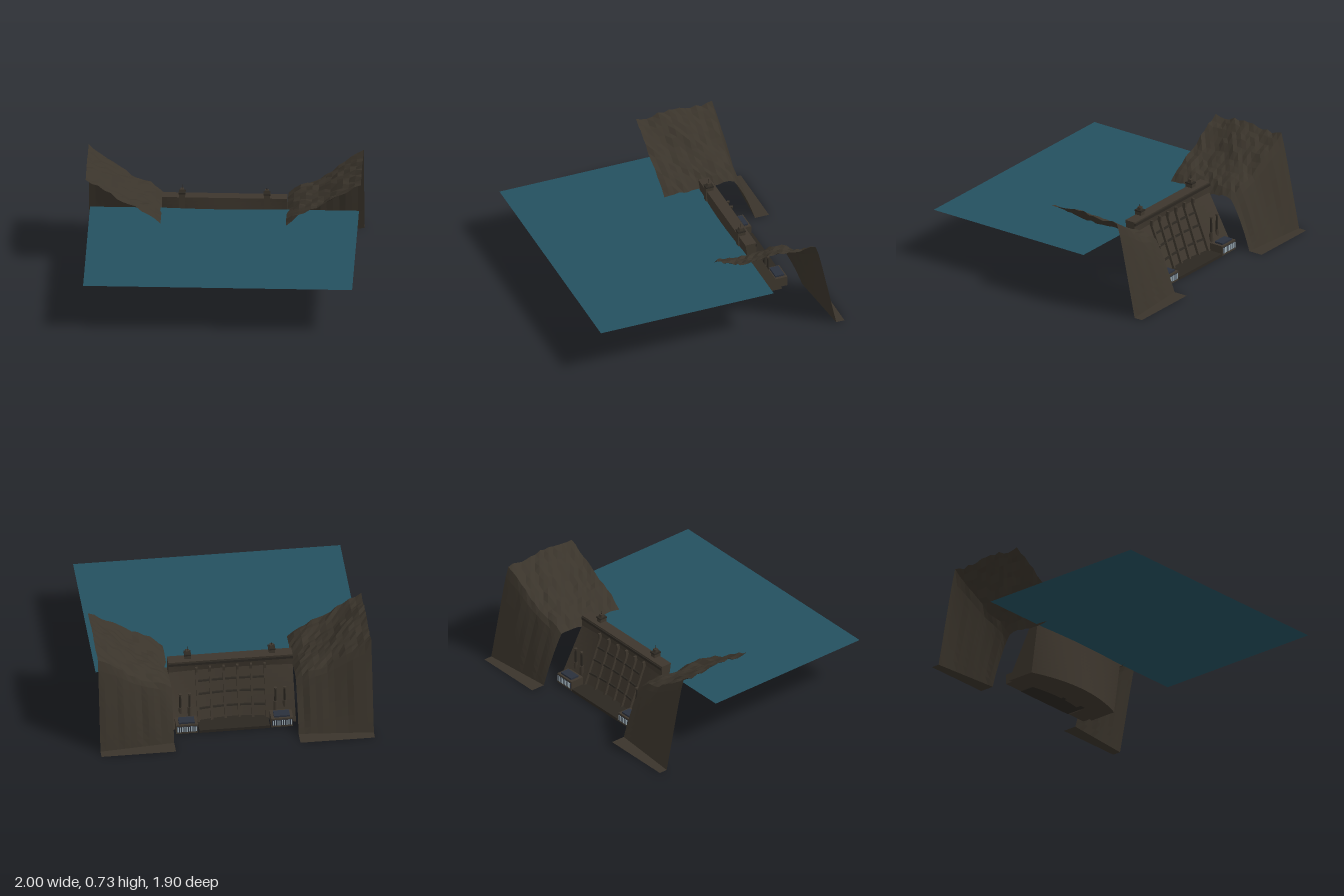
import * as THREE from 'three';

const HALF = 0.455, CREST = 0.455;
const mat = (color, opts = {}) => new THREE.MeshStandardMaterial({ color, ...opts });
const concrete = mat(0x3d362d, { flatShading: true });
const darkConcrete = mat(0x2b2721, { flatShading: true });
const rock = mat(0x3a342b, { flatShading: true, side: THREE.DoubleSide });
const glass = mat(0x2a303c);
const pale = mat(0x9fb0b8);
const waterMat = mat(0x24505f, { side: THREE.DoubleSide });

const lerp = THREE.MathUtils.lerp;

// Dam faces: straight along the crest, bowed upstream towards the foot
const bow = (x, y) => 0.09 * (1 - y / CREST) * (1 - (x / HALF) ** 2);
const upstream = (x, y) => lerp(-0.47, -0.4, y / CREST) + bow(x, y);
const downstream = (x, y) => (y > 0.37 ? -0.485 : lerp(-0.69, -0.485, y / 0.37)) + bow(x, y);

function add(parent, name, geometry, material, x = 0, y = 0, z = 0) {
  const mesh = new THREE.Mesh(geometry, material);
  mesh.name = name;
  mesh.position.set(x, y, z);
  parent.add(mesh);
  return mesh;
}

// Box given by its extents
function block(parent, name, material, x0, x1, y0, y1, z0, z1) {
  return add(parent, name, new THREE.BoxGeometry(x1 - x0, y1 - y0, z1 - z0), material,
    (x0 + x1) / 2, (y0 + y1) / 2, (z0 + z1) / 2);
}

// Box whose front and back follow rules z = f(x, y)
function fitted(parent, name, material, x0, x1, y0, y1, front, back, nx, ny) {
  const g = new THREE.BoxGeometry(x1 - x0, y1 - y0, 1, nx, ny, 1);
  g.translate((x0 + x1) / 2, (y0 + y1) / 2, 0);
  const p = g.attributes.position;
  for (let i = 0; i < p.count; i++) {
    const x = p.getX(i), y = p.getY(i);
    p.setZ(i, p.getZ(i) > 0 ? front(x, y) : back(x, y));
  }
  g.computeVertexNormals();
  return add(parent, name, g, material);
}

// Small repeatable roughness
const noise = (a, b) => {
  const s = Math.sin(a * 12.99 + b * 78.23) * 43758.55;
  return (s - Math.floor(s)) - 0.5;
};

// Canyon side: sloping top sheet, steep rear wall and flat foot
function cliff(side) {
  const nu = 12, nTop = 14, nWall = 9, nv = nTop + nWall + 1;
  const g = new THREE.PlaneGeometry(1, 1, nu, nv);
  const p = g.attributes.position;
  for (let j = 0; j <= nv; j++) {
    for (let i = 0; i <= nu; i++) {
      const u = i / nu;
      const x = lerp(HALF, 1, u);
      const rim = lerp(0.365, 0.71, u) + 0.022 * Math.sin(u * Math.PI * 3) * (1 - u);
      const zRim = lerp(-0.68, -0.73, u);
      let y, z;
      if (j <= nTop) {
        const t = j / nTop;
        z = lerp(-0.135, zRim, t);
        y = rim + 0.012 * Math.sin(t * 9 + u * 4) + 0.025 * noise(i + side * 3, j) * (u > 0 ? 1 : 0.4);
      } else if (j <= nTop + nWall) {
        const t = (j - nTop) / nWall;
        y = rim * (1 - t);
        z = lerp(zRim, lerp(-0.845, -0.89, u), t ** 0.85)
          + 0.016 * noise(i + side * 5, 2) * Math.sin(t * Math.PI);
      } else {
        y = 0;
        z = -0.955;
      }
      p.setXYZ(j * (nu + 1) + i, side * x, Math.max(y, 0), z);
    }
  }
  // Turn the faces upwards on the mirrored half
  const idx = g.index.array;
  if (side > 0) {
    for (let k = 0; k < idx.length; k += 3) [idx[k], idx[k + 1]] = [idx[k + 1], idx[k]];
  }
  g.computeVertexNormals();
  return g;
}

// Tower standing against the crest
function crestTower() {
  const t = new THREE.Group();
  t.name = 'crestTower';
  block(t, 'towerShaft', concrete, -0.022, 0.022, 0.37, 0.49, -0.45, -0.394);
  block(t, 'towerCornice', darkConcrete, -0.025, 0.025, 0.482, 0.492, -0.453, -0.393);
  block(t, 'towerCap', concrete, -0.014, 0.014, 0.49, 0.515, -0.437, -0.409);
  add(t, 'towerSpire', new THREE.CylinderGeometry(0.001, 0.003, 0.035, 6), darkConcrete, 0, 0.53, -0.423);
  return t;
}

// Power station with a glazed rear front, flat roof panel and two pylons
function powerHouse() {
  const h = new THREE.Group();
  h.name = 'powerHouse';
  block(h, 'powerHouseBody', concrete, -0.08, 0.08, 0, 0.075, -0.74, -0.63);
  block(h, 'powerHouseRoof', glass, -0.058, 0.058, 0.075, 0.088, -0.725, -0.655);
  block(h, 'windowBand', glass, -0.074, 0.074, 0.016, 0.062, -0.743, -0.738);
  for (let i = 0; i < 9; i++) {
    const x = -0.066 + i * 0.0165;
    block(h, 'windowPane', pale, x - 0.004, x + 0.004, 0.018, 0.06, -0.746, -0.74);
  }
  for (const x of [-0.034, 0.034]) {
    const pylon = new THREE.Group();
    pylon.name = 'pylon';
    pylon.position.set(x, 0, -0.605);
    add(pylon, 'pylonFoot', new THREE.CylinderGeometry(0.014, 0.016, 0.1, 8), concrete, 0, 0.09, 0);
    add(pylon, 'pylonShaft', new THREE.CylinderGeometry(0.007, 0.009, 0.11, 8), darkConcrete, 0, 0.19, 0);
    add(pylon, 'pylonHead', new THREE.CylinderGeometry(0.012, 0.009, 0.015, 8), concrete, 0, 0.25, 0);
    h.add(pylon);
  }
  return h;
}

export function createModel() {
  const model = new THREE.Group();
  model.name = 'damAndReservoir';

  // Reservoir surface
  const water = new THREE.PlaneGeometry(1.955, 1.355);
  water.rotateX(-Math.PI / 2);
  add(model, 'water', water, waterMat, 0, 0.365, 0.268);

  // Dam wall with its crest
  fitted(model, 'damWall', concrete, -HALF, HALF, 0, CREST, upstream, downstream, 24, 16);
  block(model, 'crestLedge', darkConcrete, -HALF, HALF, 0.425, 0.445, -0.492, -0.48);

  // Spillway piers, cross beams and apron on the downstream face
  const inner = (x, y) => downstream(x, y) + 0.01;
  for (const x of [-0.25, -0.15, -0.05, 0.05, 0.15, 0.25]) {
    fitted(model, 'spillwayPier', concrete, x - 0.008, x + 0.008, 0.02, 0.4,
      inner, (a, b) => downstream(a, b) - 0.022, 1, 10);
  }
  for (const y of [0.1, 0.2, 0.29]) {
    fitted(model, 'spillwayBeam', darkConcrete, -0.25, 0.25, y, y + 0.01,
      inner, (a, b) => downstream(a, b) - 0.012, 16, 1);
  }
  block(model, 'apron', darkConcrete, -0.258, 0.258, 0, 0.022, -0.745, -0.58);

  // Mirrored towers, power houses and canyon sides
  for (const side of [-1, 1]) {
    const tower = crestTower();
    tower.position.x = side * 0.308;
    const house = powerHouse();
    house.position.x = side * 0.348;
    model.add(tower, house);
    add(model, side > 0 ? 'leftCliff' : 'rightCliff', cliff(side), rock);
  }
  return model;
}
